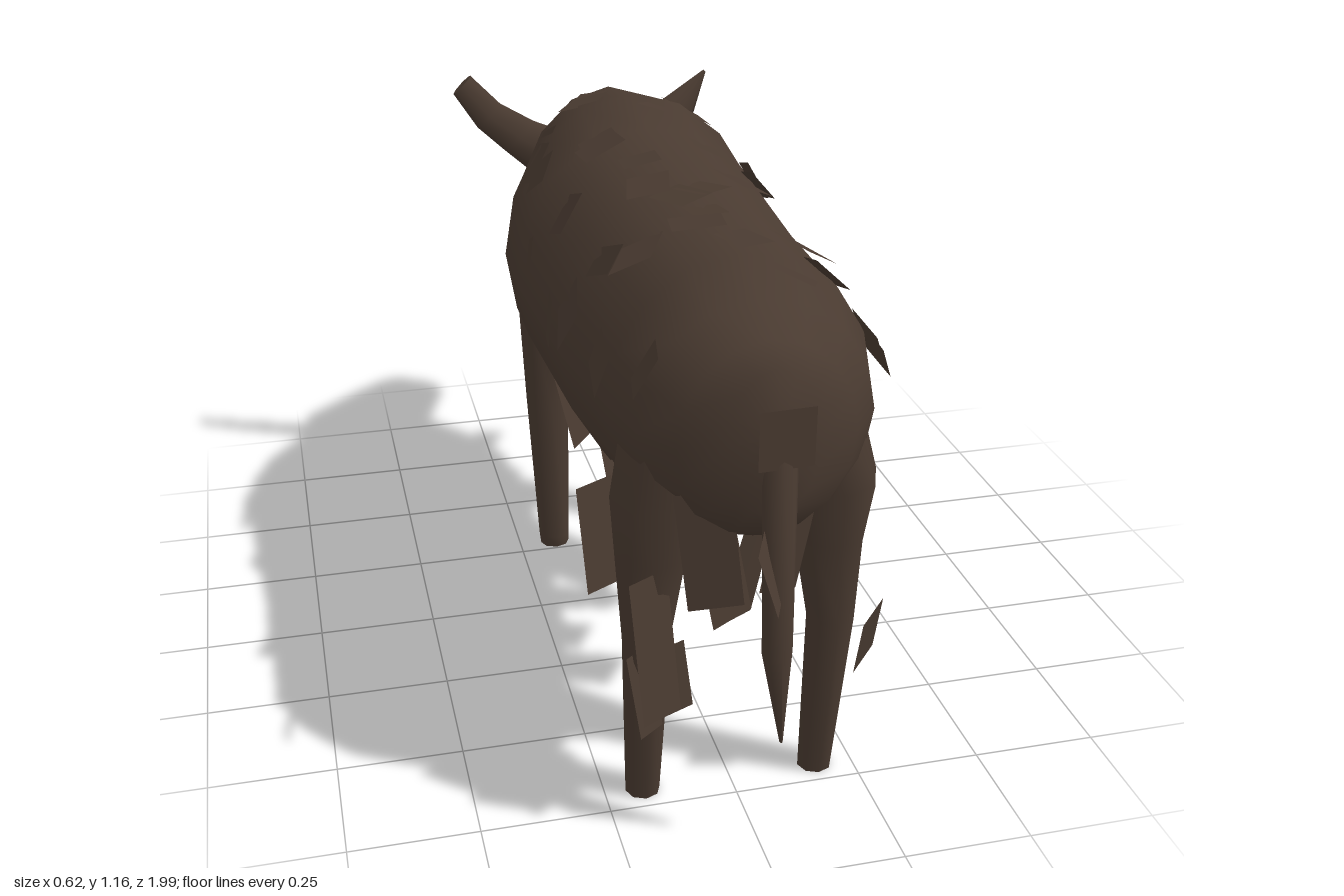
import * as THREE from 'three';

const hide = new THREE.MeshStandardMaterial({ color: 0x4a3b31, side: THREE.DoubleSide });
hide.name = 'dark brown hide';

const V = (x, y, z) => new THREE.Vector3(x, y, z);
let seed = 11;
const rnd = () => (seed = (seed * 16807) % 2147483647) / 2147483647;
const range = (a, b) => a + (b - a) * rnd();

// Closed smooth loft: each ring is centre c + u cos(t) + v sin(t), travelling along u x v
function loft(name, rings, n) {
  const pos = [], idx = [];
  const addRing = ({ c, u, v }) => {
    for (let j = 0; j < n; j++) {
      const t = (j / n) * Math.PI * 2;
      const p = c.clone().addScaledVector(u, Math.cos(t)).addScaledVector(v, Math.sin(t));
      pos.push(p.x, p.y, p.z);
    }
  };
  rings.forEach(addRing);
  // The caps have their own rings so that their rims stay crisp
  const cap = rings.length * n;
  addRing(rings[0]);
  addRing(rings[rings.length - 1]);
  for (let i = 0; i < rings.length - 1; i++) {
    for (let j = 0; j < n; j++) {
      const a = i * n + j, b = i * n + (j + 1) % n;
      idx.push(a, b, a + n, b, b + n, a + n);
    }
  }
  for (let j = 1; j < n - 1; j++) {
    idx.push(cap, cap + j + 1, cap + j, cap + n, cap + n + j, cap + n + j + 1);
  }
  const g = new THREE.BufferGeometry();
  g.setAttribute('position', new THREE.Float32BufferAttribute(pos, 3));
  g.setIndex(idx);
  g.computeVertexNormals();
  const m = new THREE.Mesh(g, hide);
  m.name = name;
  return m;
}

// Muzzle to rump: top z, top y, bottom z, bottom y, half width
const bodyRows = [
  [-1, 0.69, -0.95, 0.55, 0.07],
  [-0.95, 0.735, -0.92, 0.562, 0.093],
  [-0.68, 0.98, -0.68, 0.66, 0.125],
  [-0.61, 0.995, -0.64, 0.58, 0.148],
  [-0.55, 1.01, -0.6, 0.45, 0.165],
  [-0.47, 1.055, -0.5, 0.42, 0.19],
  [-0.38, 1.11, -0.4, 0.45, 0.22],
  [-0.15, 1.15, -0.15, 0.475, 0.282],
  [0, 1.12, 0, 0.485, 0.282],
  [0.4, 1.09, 0.4, 0.51, 0.265],
  [0.7, 1.095, 0.7, 0.56, 0.245],
  [0.8, 1.05, 0.8, 0.6, 0.215],
  [0.87, 1.005, 0.87, 0.64, 0.16],
  [0.91, 0.97, 0.91, 0.7, 0.085],
  [0.92, 0.86, 0.92, 0.84, 0.01],
];

// Point and outward direction on the barrel at depth z and angle t
function bodyPoint(z, t) {
  let i = 0;
  while (bodyRows[i + 1][0] < z) i++;
  const a = bodyRows[i], b = bodyRows[i + 1], k = (z - a[0]) / (b[0] - a[0]);
  const [, top, , low, w] = a.map((q, s) => q + (b[s] - q) * k);
  const h = (top - low) / 2;
  return {
    p: V(w * Math.cos(t), (top + low) / 2 + h * Math.sin(t), z),
    out: V(Math.cos(t) / w, Math.sin(t) / h, 0).normalize(),
  };
}

// Legs and tail, from the top down: y, x, z, x radius, z radius
const frontRows = [
  [0.85, 0.12, -0.27, 0.09, 0.13],
  [0.62, 0.168, -0.28, 0.068, 0.066],
  [0.4, 0.175, -0.28, 0.05, 0.05],
  [0.03, 0.166, -0.288, 0.036, 0.042],
  [0, 0.165, -0.285, 0.034, 0.03],
];
const hindRows = [
  [0.9, 0.1, 0.7, 0.1, 0.14],
  [0.68, 0.155, 0.745, 0.092, 0.1],
  [0.55, 0.168, 0.735, 0.068, 0.064],
  [0.38, 0.177, 0.737, 0.047, 0.053],
  [0, 0.175, 0.695, 0.034, 0.034],
];
const tailRows = [
  [0.92, 0.01, 0.87, 0.025, 0.02],
  [0.8, 0.01, 0.91, 0.032, 0.022],
  [0.45, 0.005, 0.945, 0.028, 0.028],
  [0.25, 0.022, 0.935, 0.003, 0.004],
];
const limb = (name, rows, side) => loft(name, rows.map(([y, x, z, rx, rz]) => (
  { c: V(x * side, y, z), u: V(rx, 0, 0), v: V(0, 0, rz) })), 8);

// Flattened upturned ear; tip is the half width of its end
function ear(side, tip) {
  const rows = [[0.1, 0.9, 0.065], [0.17, 0.94, 0.05], [0.24, 0.99, 0.04], [0.3, 1.065, tip]];
  return loft('ear', rows.map(([x, y, r]) => ({
    c: V(x * side, y, -0.57 - x * 0.25),
    u: V(0.7 * r, -0.7 * r * side, 0),
    v: V(0, 0, -0.45 * r),
  })), 8);
}

// Flat piece of matted hair hanging from its upper edge
function card(name, w, l) {
  const m = new THREE.Mesh(new THREE.PlaneGeometry(w, l).translate(0, -l / 2, 0), hide);
  m.name = name;
  return m;
}

// Locks on the flanks hang a little inward
function lock(x, y, z, w, l, yaw, lean) {
  const m = card('lock', w, l);
  m.position.set(x, y, z);
  m.rotation.set(0.3 * Math.sign(x) * Math.sin(yaw), yaw, lean, 'YXZ');
  return m;
}

// Large locks: x, top y, z, width, length, yaw, lean
const largeLocks = [
  [0.262, 0.73, 0.15, 0.11, 0.42, 1.4, 0.06],
  [0.24, 0.65, -0.03, 0.085, 0.31, 1.3, -0.1],
  [0.235, 0.73, -0.27, 0.11, 0.11, 1.3, 0],
  [0.1, 0.57, -0.62, 0.08, 0.13, 0.9, 0.1],
  [0.23, 0.42, 0.82, 0.08, 0.14, 0.8, 0.25],
  [0.26, 0.65, 0.3, 0.09, 0.16, 0.5, 0.1],
  [-0.22, 0.58, 0.5, 0.1, 0.22, 0.5, 0],
  [-0.19, 0.54, 0.8, 0.09, 0.28, 0.5, 0],
  [-0.16, 0.38, 0.79, 0.09, 0.14, 0.3, 0.1],
  [-0.2, 0.36, 0.76, 0.06, 0.17, 0.6, 0.05],
  [-0.11, 0.73, 0.86, 0.1, 0.24, -0.2, 0.12],
  [-0.07, 0.64, 0.78, 0.09, 0.22, 0.4, 0.15],
  [0.07, 0.73, 0.86, 0.08, 0.22, 0.3, -0.15],
  [0.07, 0.58, 0.66, 0.09, 0.26, 0.6, -0.1],
  [0.03, 0.6, 0.73, 0.08, 0.2, 0.8, -0.1],
  [-0.03, 0.68, 0.95, 0.1, 0.13, 1.1, 0.15],
  [0.015, 0.905, 0.93, 0.1, 0.11, 0.05, 0],
];

export function createModel() {
  const model = new THREE.Group();
  model.name = 'shaggy grazing animal';
  model.add(loft('bodyAndHead', bodyRows.map(([zt, yt, zb, yb, w]) => ({
    c: V(0, (yt + yb) / 2, (zt + zb) / 2),
    u: V(w, 0, 0),
    v: V(0, (yt - yb) / 2, (zt - zb) / 2),
  })), 16));

  for (const side of [-1, 1]) {
    model.add(limb('frontLeg', frontRows, side), limb('hindLeg', hindRows, side));
    model.add(ear(side, side < 0 ? 0.03 : 0.004));
  }
  model.add(limb('tail', tailRows, 1));

  // Hanging coat: large locks and a fringe along both sides of the belly
  const coat = new THREE.Group();
  coat.name = 'hangingCoat';
  for (const row of largeLocks) coat.add(lock(...row));
  for (const side of [-1, 1]) {
    for (let i = 0; i < 7; i++) {
      const z = -0.44 + i * 0.165;
      const { p } = bodyPoint(z, -Math.PI * range(0.24, 0.4));
      const l = p.y + 0.04 - range(0.31, 0.38);
      coat.add(lock(p.x * side, p.y + 0.04, z, range(0.07, 0.11), l, range(0.6, 1.3), range(-0.1, 0.2)));
    }
  }
  model.add(coat);

  // Short tufts lying along the back and flanks
  const tufts = new THREE.Group();
  tufts.name = 'backTufts';
  for (let i = 0; i < 38; i++) {
    const { p, out } = bodyPoint(-0.38 + 1.15 * ((i + rnd()) / 38), Math.PI * range(0, 1));
    const back = V(0, 0, -1), across = back.clone().cross(out);
    const m = card('tuft', range(0.06, 0.1), range(0.08, 0.12));
    m.quaternion.setFromRotationMatrix(new THREE.Matrix4().makeBasis(across, back, out));
    m.position.copy(p).addScaledVector(out, -0.003);
    m.rotateZ(range(-0.6, 0.6));
    m.rotateX(-range(0.02, 0.16));
    tufts.add(m);
  }
  model.add(tufts);
  return model;
}
